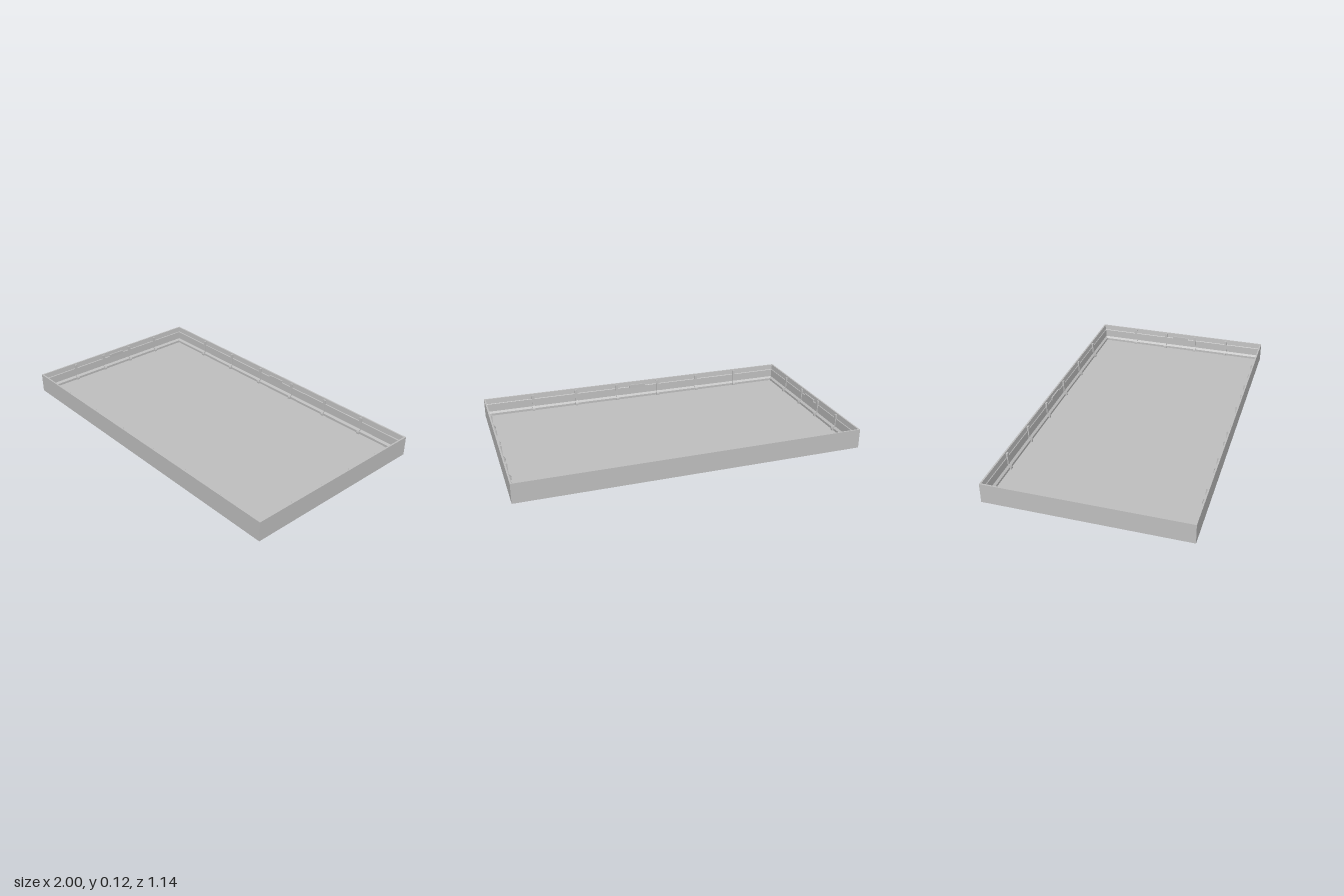
import * as THREE from 'three';

const HALF_X = 1, HALF_Z = 0.57, HEIGHT = 0.115;

// Wall section from the outer foot, over the rim, down to the floor: [inset, y]
const SECTION = [
  [0, 0], [0, HEIGHT], [0.009, HEIGHT], [0.012, 0.084], [0.015, 0.081],
  [0.016, 0.033], [0.027, 0.022], [0.027, 0.008],
];

// Mitred rectangular rings joined into one closed tray
function trayGeometry() {
  const pos = [];
  const ring = ([s, y]) => {
    const x = HALF_X - s, z = HALF_Z - s;
    return [[x, y, z], [x, y, -z], [-x, y, -z], [-x, y, z]];
  };
  const quad = (a, b, c, d) => pos.push(...a, ...b, ...c, ...a, ...c, ...d);
  const rings = SECTION.map(ring);
  for (let k = 0; k < rings.length - 1; k++) {
    const a = rings[k], b = rings[k + 1];
    for (let i = 0; i < 4; i++) {
      const j = (i + 1) % 4;
      quad(a[i], a[j], b[j], b[i]);
    }
  }
  quad(...rings[rings.length - 1]);
  quad(...[...rings[0]].reverse());
  const g = new THREE.BufferGeometry();
  g.setAttribute('position', new THREE.Float32BufferAttribute(pos, 3));
  g.computeVertexNormals();
  return g;
}

// Thin rib following the wall, with a foot curving onto the floor
function ribGeometry() {
  const s = new THREE.Shape();
  s.moveTo(0.005, 0.108);
  s.lineTo(0.005, 0.004);
  s.lineTo(0.036, 0.004);
  s.lineTo(0.036, 0.018);
  s.quadraticCurveTo(0.034, 0.028, 0.022, 0.038);
  s.lineTo(0.02, 0.108);
  s.closePath();
  const g = new THREE.ExtrudeGeometry(s, { depth: 0.016, bevelEnabled: false, curveSegments: 4 });
  return g.translate(0, 0, -0.008);
}

export function createModel() {
  const model = new THREE.Group();
  model.name = 'shallowTray';
  const grey = new THREE.MeshStandardMaterial({ color: 0xc0c0c0 });
  grey.name = 'light grey';

  const add = (parent, geometry, name) => {
    const m = new THREE.Mesh(geometry, grey);
    m.name = name;
    parent.add(m);
    return m;
  };
  add(model, trayGeometry(), 'trayShell');

  const rib = ribGeometry();
  const longRibs = [-0.695, -0.415, -0.14, 0.14, 0.415, 0.695];
  const shortRibs = [-0.325, -0.105, 0.105, 0.325];

  // Each wall: local x points inward, local z runs along the wall
  const walls = [
    ['right', -HALF_X, 0, 0, shortRibs],
    ['left', HALF_X, 0, Math.PI, shortRibs],
    ['back', 0, -HALF_Z, -Math.PI / 2, longRibs],
    ['front', 0, HALF_Z, Math.PI / 2, longRibs],
  ];
  for (const [side, x, z, turn, ribs] of walls) {
    const wall = new THREE.Group();
    wall.name = side + 'WallDetails';
    wall.position.set(x, 0, z);
    wall.rotation.y = turn;
    for (const t of ribs) add(wall, rib, 'rib').position.z = t;
    // Small catch at the middle of the wall
    add(wall, new THREE.BoxGeometry(0.01, 0.02, 0.11), 'catch').position.set(0.013, 0.085, 0);
    model.add(wall);
  }
  return model;
}
